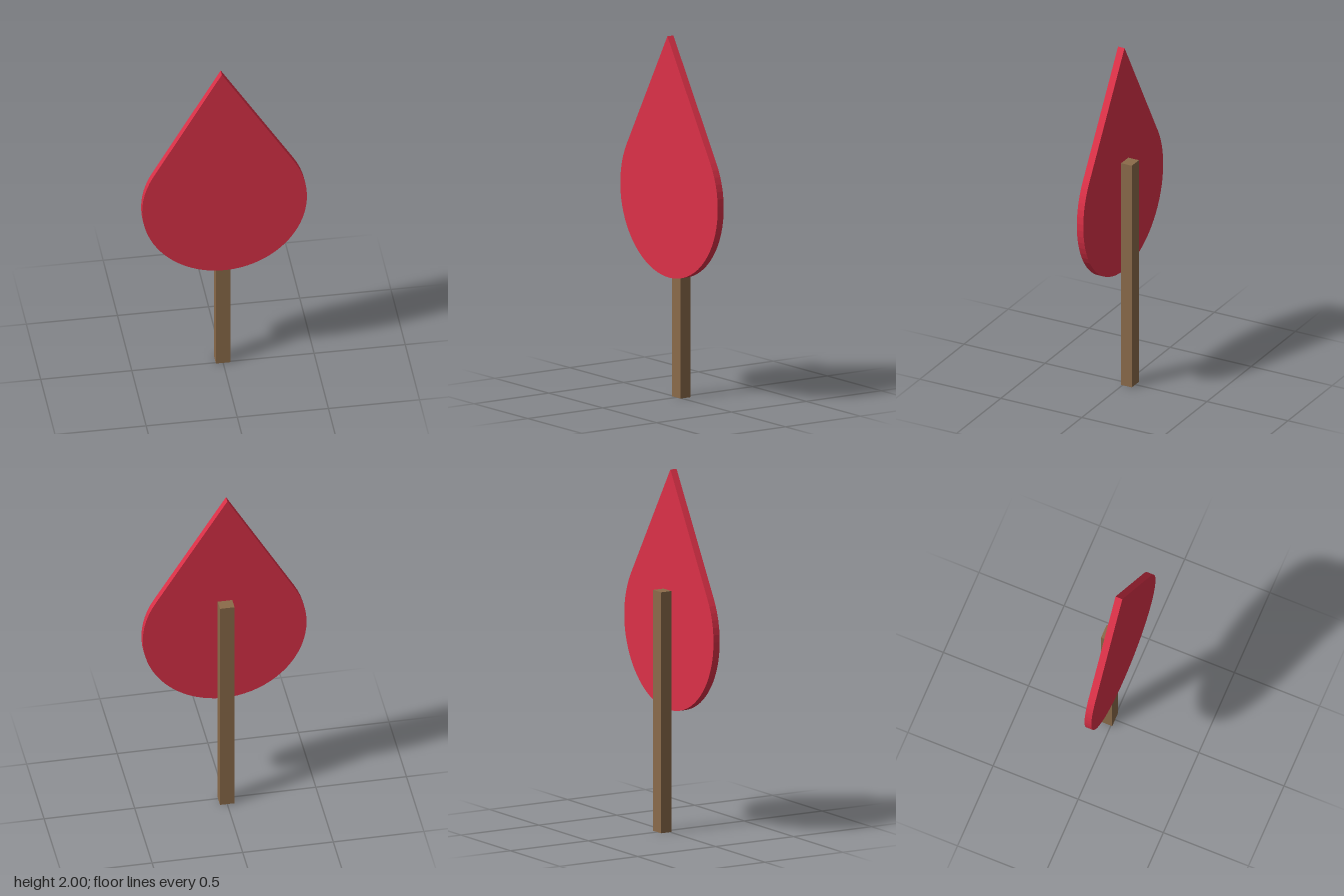
import * as THREE from 'three';

export function createModel() {
  const model = new THREE.Group();
  const red = new THREE.MeshStandardMaterial({ color: 0xdc3148, flatShading: true });
  const brown = new THREE.MeshStandardMaterial({ color: 0x8b6b4a, flatShading: true });

  // Teardrop panel: a round base whose tangents meet at a slightly offset tip
  const radius = 0.452, centreY = 1.12;
  const tip = new THREE.Vector2(-0.015, 2);
  const toTip = Math.atan2(tip.y - centreY, tip.x);
  const spread = Math.acos(radius / Math.hypot(tip.x, tip.y - centreY));
  const start = toTip + spread, end = toTip - spread + Math.PI * 2;
  const outline = new THREE.Shape();
  outline.moveTo(tip.x, tip.y);
  outline.lineTo(radius * Math.cos(start), centreY + radius * Math.sin(start));
  outline.absarc(0, centreY, radius, start, end, false);
  outline.lineTo(tip.x, tip.y);
  const panel = new THREE.Mesh(
    new THREE.ExtrudeGeometry(outline, { depth: 0.04, bevelEnabled: false, curveSegments: 24 }), red);
  panel.name = 'teardropPanel';
  panel.position.z = 0.017;
  model.add(panel);

  // Square post standing just behind the panel
  const post = new THREE.Mesh(new THREE.BoxGeometry(0.08, 1.333, 0.066), brown);
  post.name = 'post';
  post.position.set(0, 0.6665, -0.025);
  model.add(post);

  return model;
}
